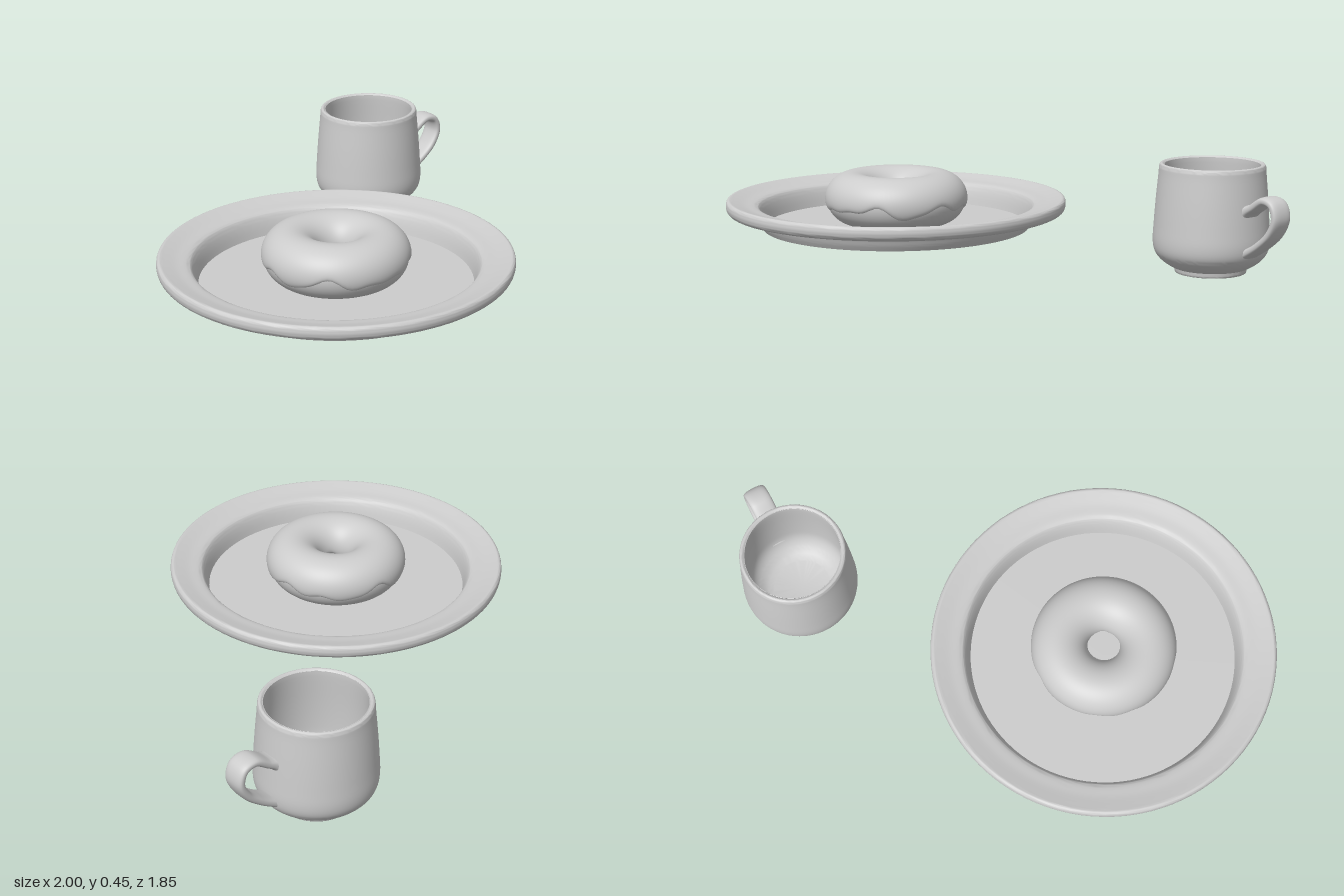
import * as THREE from 'three';
import { toCreasedNormals } from 'three/addons/utils/BufferGeometryUtils.js';
import { ParametricGeometry } from 'three/addons/geometries/ParametricGeometry.js';

const clay = new THREE.MeshStandardMaterial({ color: 0xcccccc });
clay.name = 'clay grey';

function part(name, geometry, x, y, z) {
  const mesh = new THREE.Mesh(geometry, clay);
  mesh.name = name;
  mesh.position.set(x, y, z);
  return mesh;
}

// Lathe from runs of [radius, y]; each run is a smooth curve, corners fall between runs
function turned(runs) {
  const points = [];
  runs.forEach((run, k) => {
    const pts = run.map(([r, y]) => new THREE.Vector2(r, y));
    const smooth = pts.length > 2 ? new THREE.SplineCurve(pts).getPoints(pts.length * 4) : pts;
    points.push(...(k ? smooth.slice(1) : smooth));
  });
  return toCreasedNormals(new THREE.LatheGeometry(points, 96), 0.6);
}

// Squashed ring whose section spans angles from(phi) to to(phi); edge tucks the rim inwards
function ring(R, r, squash, from, to, edge) {
  return new ParametricGeometry((u, v, target) => {
    const phi = u * Math.PI * 2;
    const a = from(phi) + (to(phi) - from(phi)) * v;
    const tuck = edge * Math.pow(Math.abs(2 * v - 1), 24);
    const q = r - tuck;
    const d = R + q * Math.cos(a);
    target.set(d * Math.cos(phi), q * squash * Math.sin(a), -d * Math.sin(phi));
  }, 96, 48);
}

function createPlate() {
  return part('plate', turned([
    [[0, 0.16], [0.545, 0.16]],
    [[0.545, 0.16], [0.558, 0.182], [0.572, 0.212], [0.59, 0.221]],
    [[0.59, 0.221], [0.655, 0.221], [0.685, 0.23], [0.695, 0.25], [0.693, 0.272], [0.683, 0.28],
      [0.665, 0.276], [0.62, 0.264], [0.575, 0.256], [0.559, 0.243], [0.546, 0.21], [0.536, 0.168]],
    [[0.536, 0.168], [0, 0.168]],
  ]), -0.305, 0, 0.225);
}

function createDonut() {
  const donut = new THREE.Group();
  donut.name = 'donut';
  // Wavy lower edge of the icing
  const drip = p => -0.3 + 0.16 * Math.sin(5 * p + 0.6) + 0.12 * Math.sin(8 * p + 2) + 0.06 * Math.sin(13 * p);
  donut.add(
    part('dough', ring(0.1785, 0.106, 0.98, () => -Math.PI, () => Math.PI, 0), 0, 0, 0),
    part('icing', ring(0.1785, 0.1135, 0.95, drip, p => Math.PI + 0.3 + 0.1 * Math.sin(4 * p), 0.012), 0, 0, 0),
  );
  donut.position.set(-0.305, 0.277, 0.225);
  return donut;
}

function createMug() {
  const mug = new THREE.Group();
  mug.name = 'mug';
  mug.add(part('cup', turned([
    [[0, 0.004], [0.135, 0.004]],
    [[0.135, 0.004], [0.138, 0], [0.144, 0.003], [0.147, 0.02]],
    [[0.147, 0.02], [0.165, 0.028], [0.2, 0.052], [0.226, 0.085], [0.235, 0.13], [0.232, 0.2],
      [0.225, 0.3], [0.216, 0.4], [0.213, 0.435], [0.205, 0.445], [0.195, 0.44], [0.192, 0.425],
      [0.2, 0.3], [0.203, 0.2], [0.2, 0.14], [0.183, 0.1], [0.15, 0.07], [0.118, 0.058]],
    [[0.118, 0.058], [0, 0.058]],
  ]), 0, 0, 0));

  // Flat strap handle, swept along a loop and flaring where it meets the cup
  const path = new THREE.CatmullRomCurve3([
    [0.212, 0.278], [0.25, 0.296], [0.315, 0.334], [0.362, 0.322], [0.38, 0.27],
    [0.35, 0.205], [0.295, 0.155], [0.24, 0.12], [0.205, 0.105],
  ].map(([x, y]) => new THREE.Vector3(x, y, 0)));
  const soft = c => Math.sign(c) * Math.pow(Math.abs(c), 0.7);
  const handle = new ParametricGeometry((u, v, target) => {
    const c = path.getPoint(u), t = path.getTangent(u);
    const a = v * Math.PI * 2;
    const flare = Math.pow(Math.abs(2 * u - 1), 8);
    const n = (0.0175 + 0.012 * flare) * soft(Math.cos(a));
    const b = (0.047 + 0.005 * flare) * soft(Math.sin(a));
    target.set(c.x - t.y * n, c.y + t.x * n, -b);
  }, 48, 32);
  mug.add(part('handle', handle, 0, 0, 0));
  mug.position.set(0.6, 0, -0.69);
  return mug;
}

export function createModel() {
  const model = new THREE.Group();
  model.name = 'breakfast set';
  model.add(createPlate(), createDonut(), createMug());
  return model;
}
